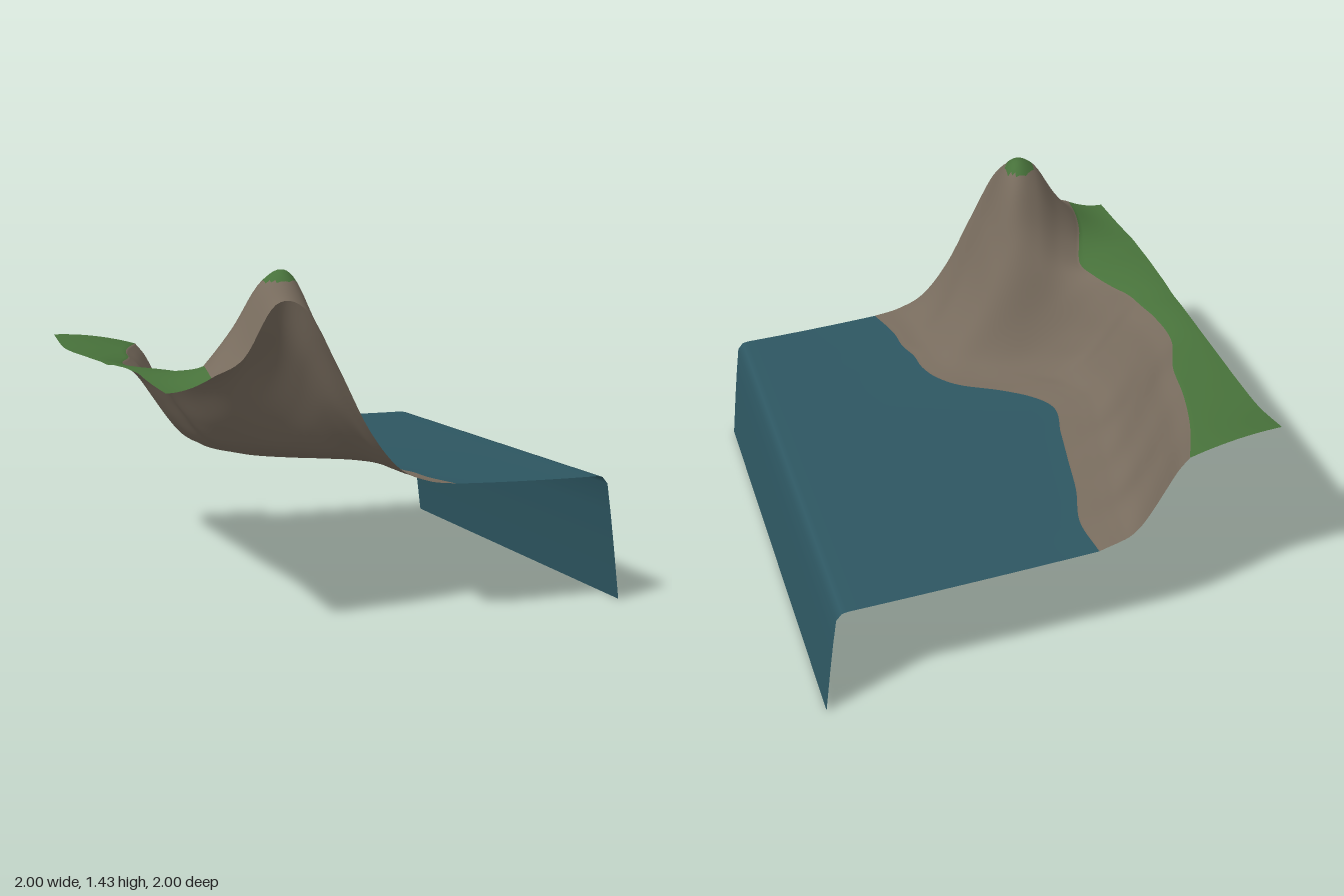
import * as THREE from 'three';

// Cross-sections of the coast, back to front:
// [z, height at the inland border, x of grass edge, x of shoreline, optional rock heights]
const CLIFF = [0.97, 0.91, 0.82, 0.73, 0.655, 0.61, 0.59, 0.575, 0.56];
const SECTIONS = [
  [-1, 1.03, -0.59, -0.21],
  [-0.8, 0.99, -0.68, -0.2],
  [-0.6, 0.985, -0.74, -0.26],
  [-0.4, 0.99, -0.78, -0.3],
  [-0.2, 0.995, -0.86, -0.34],
  [0, 1.0, -0.86, -0.375],
  [0.1, 1.0, -0.84, -0.31],
  [0.2, 1.01, -0.82, -0.18, [0.97, 0.87, 0.76, 0.67, 0.62, 0.59, 0.58, 0.57, 0.56]],
  [0.3, 1.015, -0.77, -0.01, [0.97, 0.87, 0.76, 0.69, 0.64, 0.61, 0.59, 0.57, 0.56]],
  [0.4, 1.02, -0.72, 0.08, [0.98, 0.93, 0.86, 0.8, 0.74, 0.67, 0.61, 0.58, 0.56]],
  [0.5, 1.02, -0.69, 0.12, [0.99, 1.01, 1.02, 0.98, 0.88, 0.76, 0.66, 0.59, 0.56]],
  [0.6, 1.02, -0.72, 0.13, [1.03, 1.09, 1.16, 1.16, 1.02, 0.84, 0.7, 0.6, 0.56]],
  [0.7, 1.01, -0.76, 0.16, [1.05, 1.17, 1.32, 1.34, 1.1, 0.86, 0.7, 0.59, 0.56]],
  [0.82, 1.0, -0.79, 0.17, [1.06, 1.21, 1.39, 1.41, 1.14, 0.88, 0.69, 0.59, 0.56]],
  [1, 0.99, -0.82, 0.22, [1.04, 1.11, 1.31, 1.28, 1.05, 0.8, 0.64, 0.58, 0.56]],
];
// Sea level from the shoreline out, then the drop at the outer edge: [x, y]
const SEA_EDGE = [[0.88, 0.545], [0.905, 0.54], [0.93, 0.51], [0.95, 0.38], [0.97, 0.235], [1, 0]];

const ROWS = 120, GRASS = 12, ROCK = 56, SEA = 12;
const SUMMIT = 1.39;

export function createModel() {
  const group = new THREE.Group();
  const flat = (name, color) =>
    new THREE.MeshStandardMaterial({ name, color, side: THREE.DoubleSide });
  const grassMat = flat('grass green', 0x47713a);
  const rockMat = flat('rock brown', 0x776b5d);
  const seaMat = flat('sea blue', 0x2d5661);

  // Smooth interpolation between the cross-sections
  const along = new THREE.CubicInterpolant(
    SECTIONS.map((s) => s[0]),
    SECTIONS.flatMap((s) => [s[1], s[2], s[3], ...(s[4] || CLIFF)]), 12);

  const positions = [];
  for (let i = 0; i <= ROWS; i++) {
    const z = -1 + (2 * i) / ROWS;
    const [inland, grassX, shoreX, ...heights] = Array.from(along.evaluate(z));
    const across = new THREE.CubicInterpolant(heights.map((_, k) => k / 8), heights, 1);

    // Grass plateau, rolling down to the cliff edge
    for (let j = 0; j < GRASS; j++) {
      const s = j / GRASS;
      positions.push(-1 + (grassX + 1) * s, inland + (heights[0] - inland) * s * s, z);
    }
    // Rock slope with shallow gullies
    for (let j = 0; j <= ROCK; j++) {
      const t = j / ROCK;
      const gully = 0.006 * Math.sin(z * 24 + t * 4) * Math.sin(Math.PI * t) ** 2;
      positions.push(grassX + (shoreX - grassX) * t, across.evaluate(t)[0] + gully, z);
    }
    // Sea surface and its falling outer edge
    for (let j = 1; j < SEA; j++) {
      const s = j / SEA;
      positions.push(shoreX + (0.88 - shoreX) * s, 0.545 + 0.015 * (1 - s) ** 2, z);
    }
    for (const [x, y] of SEA_EDGE) positions.push(x, y, z);
  }

  // Sort the grid cells into the three surfaces
  const cols = GRASS + ROCK + SEA + SEA_EDGE.length;
  const faces = { grass: [], rock: [], sea: [] };
  const addFace = (j, a, b, c) => {
    const y = (positions[a * 3 + 1] + positions[b * 3 + 1] + positions[c * 3 + 1]) / 3;
    let part = 'rock';
    if (j < GRASS || y > SUMMIT) part = 'grass';
    else if (j >= GRASS + ROCK) part = 'sea';
    faces[part].push(a, b, c);
  };
  for (let i = 0; i < ROWS; i++) {
    for (let j = 0; j < cols - 1; j++) {
      const a = i * cols + j, b = a + cols;
      addFace(j, a, b, a + 1);
      addFace(j, b, b + 1, a + 1);
    }
  }

  // Shared normals keep the seams between surfaces smooth
  const whole = new THREE.BufferGeometry();
  whole.setAttribute('position', new THREE.Float32BufferAttribute(positions, 3));
  whole.setIndex([...faces.grass, ...faces.rock, ...faces.sea]);
  whole.computeVertexNormals();

  const addSurface = (name, index, material) => {
    const geometry = new THREE.BufferGeometry();
    geometry.setAttribute('position', whole.attributes.position);
    geometry.setAttribute('normal', whole.attributes.normal);
    geometry.setIndex(index);
    const mesh = new THREE.Mesh(geometry, material);
    mesh.name = name;
    group.add(mesh);
  };
  addSurface('grassPlateau', faces.grass, grassMat);
  addSurface('rockCliff', faces.rock, rockMat);
  addSurface('seaSurface', faces.sea, seaMat);

  group.name = 'coastalCliff';
  return group;
}
